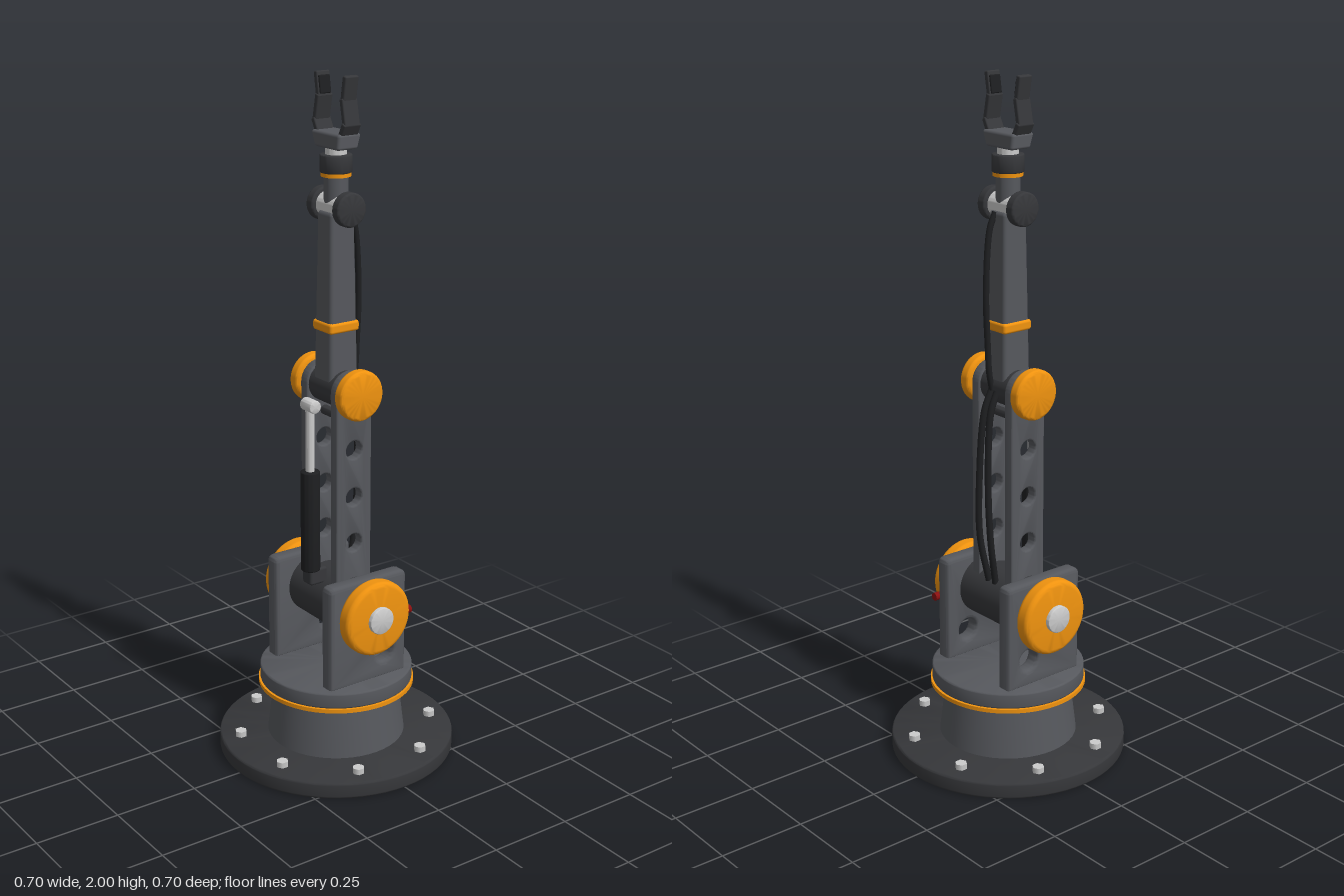
import * as THREE from 'three';
import { toCreasedNormals } from 'three/addons/utils/BufferGeometryUtils.js';
import { RoundedBoxGeometry } from 'three/addons/geometries/RoundedBoxGeometry.js';

const mat = (color) => new THREE.MeshStandardMaterial({ color });
const M = {
  dark: mat(0x36373a), grey: mat(0x56585d), black: mat(0x1e1f21),
  orange: mat(0xf0930f), silver: mat(0xc4c4c4), red: mat(0x8a1010),
};

export function createModel() {
  const root = new THREE.Group();

  function add(name, geo, material, x = 0, y = 0, z = 0) {
    const mesh = new THREE.Mesh(geo, material);
    mesh.name = name;
    mesh.position.set(x, y, z);
    root.add(mesh);
    return mesh;
  }

  // Round part centred on the origin with softened rims
  function disc(r0, r1, h, b = 0, sides = 48) {
    const p = [[0, -h / 2]];
    const n = b ? 4 : 0;
    for (let i = 0; i <= n; i++) {
      const a = n ? (i / n) * Math.PI / 2 : 0;
      p.push([r0 - b + b * Math.sin(a), -h / 2 + b - b * Math.cos(a)]);
    }
    for (let i = 0; i <= n; i++) {
      const a = n ? (i / n) * Math.PI / 2 : 0;
      p.push([r1 - b + b * Math.cos(a), h / 2 - b + b * Math.sin(a)]);
    }
    p.push([0, h / 2]);
    const geo = new THREE.LatheGeometry(p.map(([x, y]) => new THREE.Vector2(x, y)), sides);
    return toCreasedNormals(geo, 0.6);
  }
  const axle = (r, w, b = 0) => disc(r, r, w, b).rotateZ(Math.PI / 2);

  // Plate cut from a (z, y) outline, thickness along x
  function plate(shape, thickness, bevel) {
    const depth = thickness - 2 * bevel;
    const geo = new THREE.ExtrudeGeometry(shape, {
      depth, bevelSize: bevel, bevelThickness: bevel, bevelOffset: -bevel, bevelSegments: 3, curveSegments: 20,
    });
    return toCreasedNormals(geo.translate(0, 0, -depth / 2).rotateY(-Math.PI / 2), 0.6);
  }
  function hole(shape, z, y, r) {
    shape.holes.push(new THREE.Path().absarc(z, y, r, 0, Math.PI * 2, true));
  }

  // Rounded box tapering from w0 x d0 (bottom) to w1 x d1 (top)
  function taper(w0, d0, w1, d1, h, r) {
    const geo = new RoundedBoxGeometry(w0, h, d0, 3, r);
    const p = geo.attributes.position;
    for (let i = 0; i < p.count; i++) {
      const t = p.getY(i) / h + 0.5;
      p.setX(i, p.getX(i) * (1 + t * (w1 / w0 - 1)));
      p.setZ(i, p.getZ(i) * (1 + t * (d1 / d0 - 1)));
    }
    return geo;
  }

  // Base flange, bolts, pedestal and turntable
  add('baseFlange', disc(0.35, 0.35, 0.05, 0.008, 64), M.dark, 0, 0.025, 0);
  for (let i = 0; i < 8; i++) {
    const a = (i + 0.5) * Math.PI / 4;
    add('baseBolt', new THREE.CylinderGeometry(0.018, 0.018, 0.02, 6).toNonIndexed(), M.silver,
      0.291 * Math.cos(a), 0.057, 0.291 * Math.sin(a));
  }
  add('pedestal', disc(0.205, 0.185, 0.165), M.grey, 0, 0.13, 0);
  add('turntableRing', disc(0.231, 0.231, 0.012, 0, 64), M.orange, 0, 0.216, 0);
  add('turntable', disc(0.226, 0.226, 0.048, 0.006, 64), M.grey, 0, 0.245, 0);

  // Shoulder yoke, caps and drum
  for (const s of [1, -1]) {
    const cheek = new THREE.Shape();
    cheek.moveTo(-0.134, 0.265).lineTo(0.134, 0.265).lineTo(0.134, 0.565);
    cheek.quadraticCurveTo(0.134, 0.585, 0.114, 0.585).lineTo(-0.114, 0.585);
    cheek.quadraticCurveTo(-0.134, 0.585, -0.134, 0.565).lineTo(-0.134, 0.265);
    hole(cheek, -0.057, 0.345, 0.032);
    add('shoulderCheek', plate(cheek, 0.05, 0.012), M.grey, s * 0.14, 0, 0);
    add('shoulderCap', axle(0.112, 0.052, 0.016), M.orange, s * 0.191, 0.48, 0);
    add('shoulderPin', axle(0.04, 0.03, 0.003), M.silver, s * 0.215, 0.48, 0);
  }
  add('shoulderDrum', axle(0.088, 0.235), M.dark, 0, 0.48, 0);
  add('statusLight', new THREE.CylinderGeometry(0.012, 0.012, 0.02, 16).rotateX(Math.PI / 2),
    M.red, 0.165, 0.458, -0.137);

  // Upper arm side plates with lightening holes, and elbow
  for (const s of [1, -1]) {
    const arm = new THREE.Shape();
    arm.absarc(0, 1.125, 0.06, 0, Math.PI, false);
    arm.absarc(0, 0.48, 0.06, Math.PI, Math.PI * 2, false);
    for (const y of [0.675, 0.815, 0.957]) hole(arm, 0, y, 0.027);
    add('upperArmPlate', plate(arm, 0.034, 0.005), M.grey, s * 0.073, 0, 0);
    add('elbowCap', axle(0.073, 0.04, 0.012), M.orange, s * 0.11, 1.125, 0);
  }
  add('elbowDrum', axle(0.055, 0.18), M.dark, 0, 1.125, 0);
  add('armCrossBar', axle(0.014, 0.13), M.dark, 0, 1.04, 0);

  // Hydraulic strut in front of the arm
  add('strutFoot', new RoundedBoxGeometry(0.045, 0.05, 0.06, 2, 0.008), M.dark, 0, 0.565, 0.075);
  add('strutBody', disc(0.028, 0.028, 0.305, 0.004, 28), M.black, 0, 0.735, 0.09);
  add('strutRod', disc(0.013, 0.013, 0.2, 0, 20), M.silver, 0, 0.98, 0.09);
  add('strutEye', axle(0.019, 0.052, 0.003), M.silver, 0, 1.083, 0.088);

  // Forearm
  add('forearm', taper(0.085, 0.097, 0.067, 0.08, 0.49, 0.012), M.grey, 0, 1.385, 0);
  add('forearmBand', new RoundedBoxGeometry(0.09, 0.03, 0.1, 3, 0.008), M.orange, 0, 1.305, 0);

  // Wrist
  add('wristBarrel', axle(0.036, 0.1), M.silver, 0, 1.64, 0);
  for (const s of [1, -1]) add('wristCap', axle(0.048, 0.032, 0.007), M.dark, s * 0.061, 1.64, 0);
  add('wristNeck', disc(0.034, 0.034, 0.075, 0, 32), M.grey, 0, 1.69, 0);
  add('wristRing', disc(0.042, 0.042, 0.011, 0, 32), M.orange, 0, 1.729, 0);
  add('wristRotor', disc(0.045, 0.045, 0.05, 0.004, 32), M.dark, 0, 1.759, 0);
  add('toolFlange', disc(0.03, 0.03, 0.03, 0, 32), M.silver, 0, 1.795, 0);

  // Gripper palm and mirrored bent fingers
  add('gripperPalm', taper(0.11, 0.068, 0.135, 0.076, 0.045, 0.008), M.grey, 0, 1.823, 0);
  const path = [[0.054, 1.84], [0.07, 1.87], [0.057, 1.935], [0.067, 1.995]];
  const width = [0.056, 0.05, 0.044];
  for (const s of [1, -1]) {
    for (let i = 0; i < 3; i++) {
      const [x0, y0] = path[i], [x1, y1] = path[i + 1];
      const len = Math.hypot(x1 - x0, y1 - y0);
      const link = add('fingerLink', new RoundedBoxGeometry(0.016, len + 0.01, width[i], 2, 0.004), M.dark,
        s * (x0 + x1) / 2, (y0 + y1) / 2, 0);
      link.rotation.z = -s * Math.atan2(x1 - x0, y1 - y0);
    }
    const pad = add('fingerPad', new RoundedBoxGeometry(0.01, 0.05, 0.036, 2, 0.003), M.black, s * 0.054, 1.965, 0);
    pad.rotation.z = -s * 0.16;
  }

  // Cables along the back
  function cable(name, points, r) {
    const curve = new THREE.CatmullRomCurve3(points.map((p) => new THREE.Vector3(...p)));
    add(name, new THREE.TubeGeometry(curve, 40, r, 10), M.black);
  }
  cable('forearmCable', [[0.012, 1.625, -0.035], [0.012, 1.58, -0.055], [0.008, 1.4, -0.072],
    [0.01, 1.25, -0.065], [0.01, 1.17, -0.06], [0.01, 1.12, -0.05]], 0.009);
  for (const s of [1, -1]) {
    cable('armCable', [[s * 0.012, 1.12, -0.05], [s * 0.014, 1.06, -0.075], [s * 0.02, 0.85, -0.09],
      [s * 0.024, 0.68, -0.085], [s * 0.015, 0.54, -0.06]], 0.01);
  }

  return root;
}
